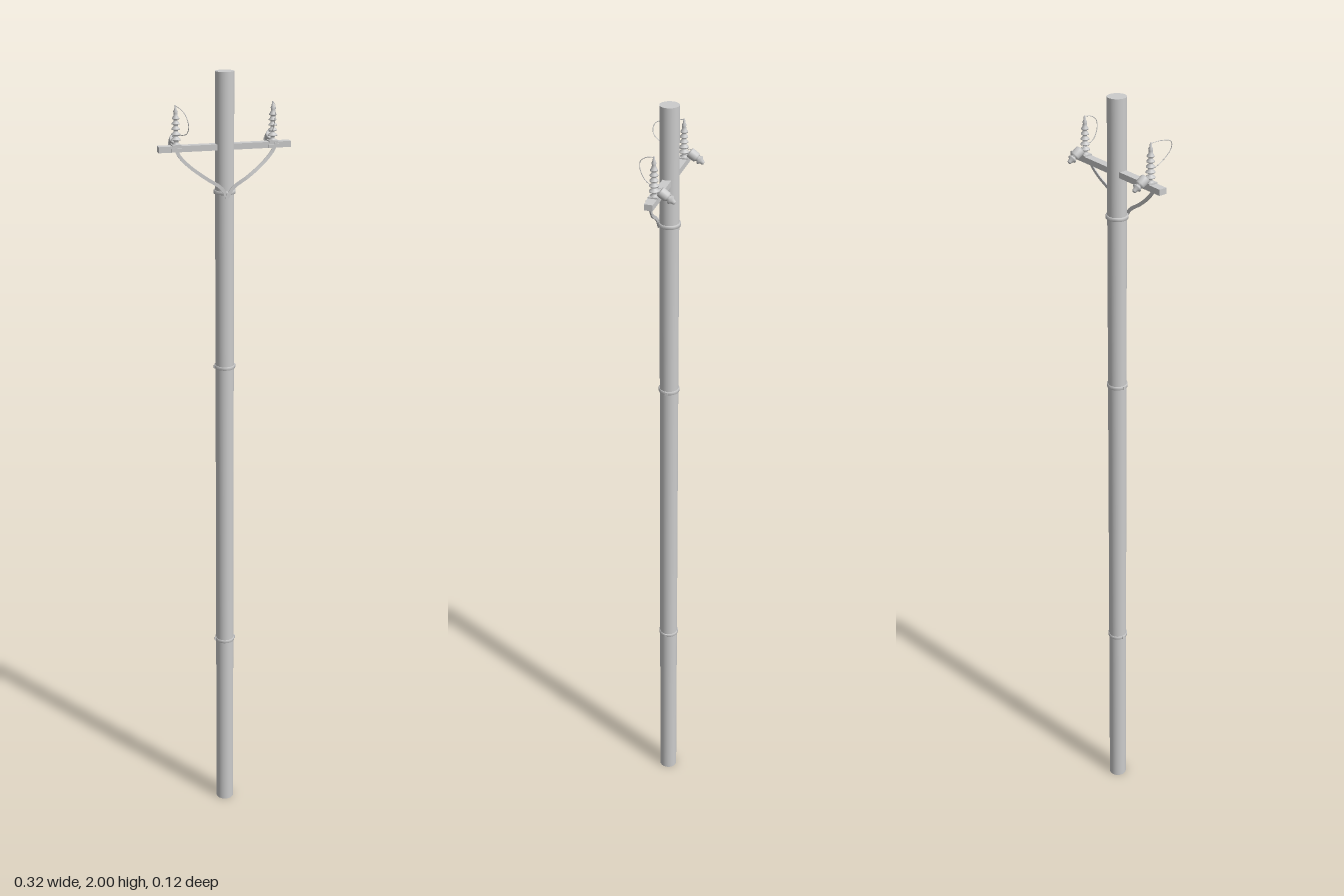
import * as THREE from 'three';

const AXIS_Z = -0.014;
const material = new THREE.MeshStandardMaterial({ color: 0xcccccc });
const thinMaterial = new THREE.MeshStandardMaterial({ color: 0xcccccc, side: THREE.DoubleSide });

function part(name, geometry, x = 0, y = 0, z = 0, mat = material) {
  const mesh = new THREE.Mesh(geometry, mat);
  mesh.name = name;
  mesh.position.set(x, y, z);
  return mesh;
}

function lathe(points, sides = 16) {
  return new THREE.LatheGeometry(points.map(([r, y]) => new THREE.Vector2(r, y)), sides);
}

function tube(points, radius, segments = 24, sides = 6) {
  const curve = new THREE.CatmullRomCurve3(points.map((p) => new THREE.Vector3(...p)));
  return new THREE.TubeGeometry(curve, segments, radius, sides);
}

// Upright ribbed insulator, base at y = 0
function ribbedInsulator() {
  const profile = [[0, 0], [0.009, 0], [0.009, 0.004], [0.005, 0.006]];
  for (let i = 0; i < 5; i++) {
    const y = 0.012 + i * 0.012;
    const r = 0.0115 - i * 0.0007;
    profile.push([0.005, y], [r, y + 0.001], [r, y + 0.003], [0.005, y + 0.008]);
  }
  profile.push([0.0045, 0.074], [0.0055, 0.078], [0.003, 0.083], [0.0018, 0.092], [0, 0.092]);
  return lathe(profile);
}

// Bell-shaped bushing with a stepped cap, along +y
function bushing() {
  return lathe([[0, 0], [0.0105, 0], [0.012, 0.003], [0.0115, 0.02], [0.008, 0.023], [0.006, 0.025],
    [0.0105, 0.028], [0.0105, 0.031], [0.006, 0.034], [0.005, 0.04], [0.003, 0.042], [0, 0.042]]);
}

// Flat strap swept along a brace path in cross-sections
function strap(points, width, thickness) {
  const curve = new THREE.CatmullRomCurve3(points.map((p) => new THREE.Vector3(...p)));
  const steps = 16, positions = [], index = [];
  for (let i = 0; i <= steps; i++) {
    const p = curve.getPoint(i / steps), t = curve.getTangent(i / steps);
    const n = new THREE.Vector3(-t.y, t.x, 0).normalize().multiplyScalar(width / 2);
    for (const [a, b] of [[-1, -1], [1, -1], [1, 1], [-1, 1]]) {
      positions.push(p.x + a * n.x, p.y + a * n.y, p.z + b * thickness / 2);
    }
    if (i < steps) {
      for (let k = 0; k < 4; k++) {
        const a = i * 4 + k, b = i * 4 + (k + 1) % 4;
        index.push(a, b, a + 4, b, b + 4, a + 4);
      }
    }
  }
  const e = steps * 4;
  index.push(0, 2, 1, 0, 3, 2, e, e + 1, e + 2, e, e + 2, e + 3);
  const geometry = new THREE.BufferGeometry();
  geometry.setAttribute('position', new THREE.Float32BufferAttribute(positions, 3));
  geometry.setIndex(index);
  const flat = geometry.toNonIndexed();
  flat.computeVertexNormals();
  return flat;
}

export function createModel() {
  const model = new THREE.Group();
  model.name = 'utilityPole';

  // Pole and its two hoops
  model.add(part('pole', new THREE.CylinderGeometry(0.0225, 0.0235, 2, 32), 0, 1, AXIS_Z));
  for (const y of [0.51, 1.285]) {
    const hoop = lathe([[0.0225, -0.004], [0.0255, -0.004], [0.0255, 0.004], [0.0225, 0.004]], 24);
    model.add(part('hoop', hoop, 0, y, AXIS_Z, thinMaterial));
    for (const side of [-1, 1]) {
      model.add(part('hoopLug', new THREE.BoxGeometry(0.005, 0.008, 0.006), side * 0.025, y, AXIS_Z));
    }
  }

  // Crossarm
  model.add(part('crossarm', new THREE.BoxGeometry(0.32, 0.014, 0.02), 0, 1.828, AXIS_Z));

  // Clamp holding the lower ends of the braces
  const clamp = lathe([[0.0225, -0.004], [0.0262, -0.004], [0.0262, 0.004], [0.0225, 0.004]], 24);
  model.add(part('braceClamp', clamp, 0, 1.722, AXIS_Z, thinMaterial));
  const bolt = part('braceBolt', new THREE.CylinderGeometry(0.004, 0.004, 0.005, 6), 0, 1.72, 0.0125);
  bolt.rotation.x = Math.PI / 2;
  model.add(bolt);

  for (const s of [-1, 1]) {
    // Brace from the crossarm down to the pole
    const brace = strap([[s * 0.122, 1.832, -0.001], [s * 0.112, 1.812, -0.001], [s * 0.088, 1.787, 0.003],
      [s * 0.05, 1.759, 0.011], [s * 0.014, 1.735, 0.0115], [0, 1.712, 0.0115]], 0.008, 0.003);
    model.add(part('brace', brace, 0, 0, 0, thinMaterial));
    model.add(part('bracePlate', new THREE.BoxGeometry(0.026, 0.008, 0.004), s * 0.117, 1.826, -0.001));

    // Insulator, its saddle and the tilted bushing behind it
    const fitting = new THREE.Group();
    fitting.name = 'insulatorFitting';
    fitting.position.set(s * 0.117, 1.835, AXIS_Z);
    fitting.add(part('saddle', new THREE.BoxGeometry(0.022, 0.004, 0.022), 0, 0.001, 0));
    fitting.add(part('insulator', ribbedInsulator()));
    const arm = part('bushingArm', new THREE.CylinderGeometry(0.003, 0.003, 0.024, 8), 0, 0.012, -0.009);
    const tilted = part('bushing', bushing(), 0, 0.015, -0.013);
    arm.rotation.x = tilted.rotation.x = -Math.PI / 2 - 0.6;
    fitting.add(arm, tilted);

    // Jumper wire bulging forward, longer on the right side
    const reach = s < 0 ? 0.071 : 0.033;
    const lean = s < 0 ? 0.014 : -0.004;
    fitting.add(part('jumperWire', tube([[0, 0.09, 0], [lean * 0.2, 0.089, reach * 0.45],
      [lean * 0.6, 0.078, reach * 0.93], [lean, 0.058, reach * 0.98], [lean * 1.15, 0.035, reach * 0.65],
      [lean * 0.7, 0.025, reach * 0.2], [-0.004, 0.02, -0.012], [-0.005, 0.008, -0.036],
      [0, -0.006, -0.045]], 0.0009, 48)));
    model.add(fitting);
  }

  return model;
}
